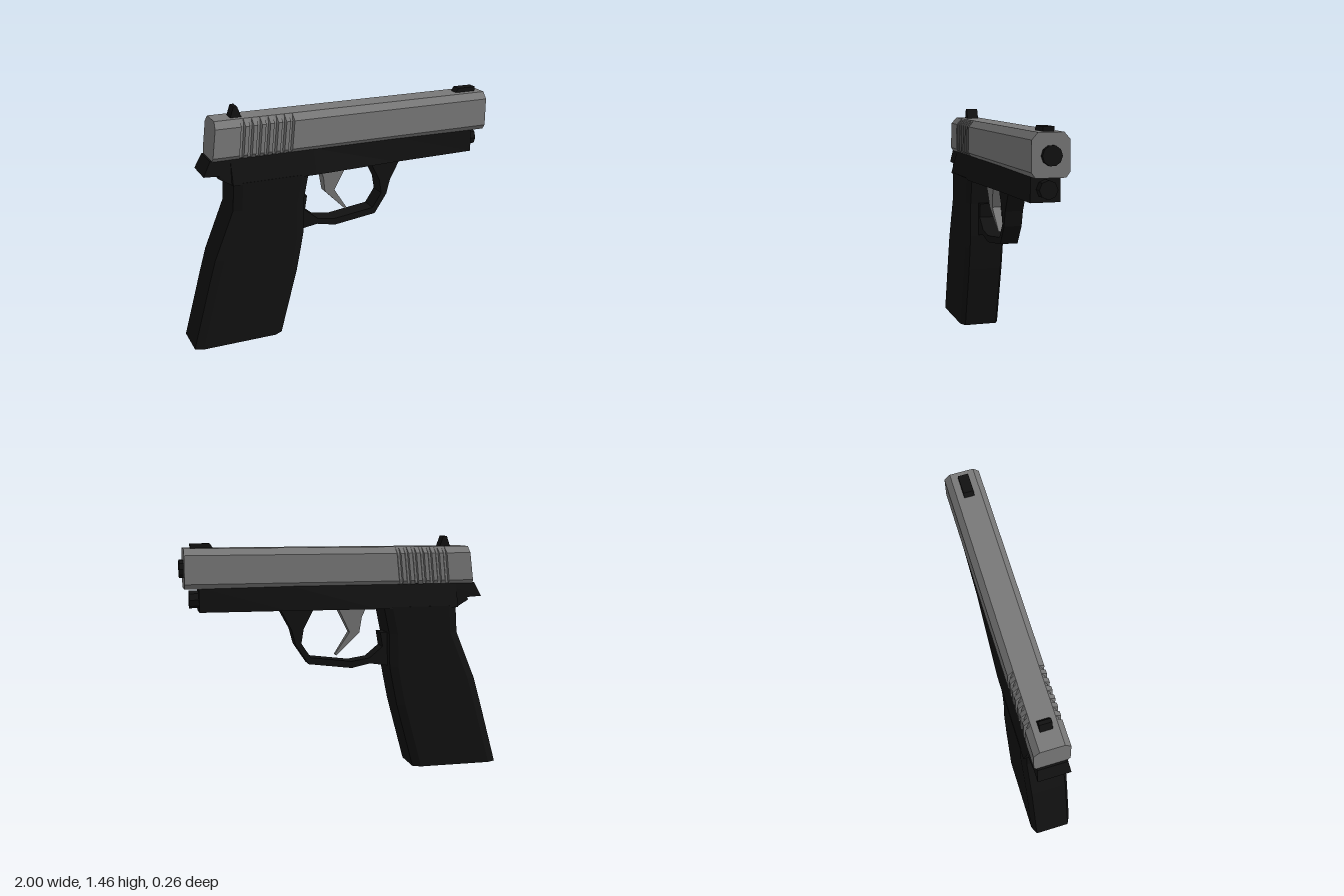
import * as THREE from 'three';

// Flat-shaded skin over a row of equal-length rings of [x, y, z], capped at both ends.
// Rings run counter-clockwise seen from the far end.
function loft(rings) {
  const n = rings[0].length, index = [];
  for (let r = 0; r < rings.length - 1; r++) {
    for (let i = 0; i < n; i++) {
      const a = r * n + i, b = r * n + (i + 1) % n;
      index.push(a, b, b + n, a, b + n, a + n);
    }
  }
  const last = (rings.length - 1) * n;
  for (let i = 1; i < n - 1; i++) {
    index.push(0, i + 1, i, last, last + i, last + i + 1);
  }
  const g = new THREE.BufferGeometry();
  g.setAttribute('position', new THREE.Float32BufferAttribute(rings.flat(2), 3));
  g.setIndex(index);
  return flat(g);
}

function flat(g) {
  const out = g.index ? g.toNonIndexed() : g;
  out.computeVertexNormals();
  return out;
}

// Side outline extruded evenly to both sides of z = 0
function plate(points, half) {
  const shape = new THREE.Shape(points.map(p => new THREE.Vector2(p[0], p[1])));
  const g = new THREE.ExtrudeGeometry(shape, { depth: half * 2, bevelEnabled: false });
  return g.translate(0, 0, -half);
}

// Narrow the width of a geometry as a function of position
function taper(g, rule) {
  const p = g.attributes.position;
  for (let i = 0; i < p.count; i++) p.setZ(i, p.getZ(i) * rule(p.getX(i), p.getY(i)));
  return flat(g);
}

export function createModel() {
  const steel = new THREE.MeshStandardMaterial({ color: 0x787878 });
  steel.name = 'grey steel';
  const black = new THREE.MeshStandardMaterial({ color: 0x111111 });
  black.name = 'black polymer';

  const model = new THREE.Group();
  model.name = 'pistol';
  const add = (name, geometry, material) => {
    const mesh = new THREE.Mesh(geometry, material);
    mesh.name = name;
    model.add(mesh);
    return mesh;
  };

  // Slide: chamfered bar with slanted rear and seven grooves on each side
  const W = 0.107;
  const slideRing = (x, w, slant) => [
    [1.4, 0.072], [1.36, w], [1.19, w], [1.16, 0.085],
    [1.16, -0.085], [1.19, -w], [1.36, -w], [1.4, -0.072],
  ].map(([y, z]) => [x + slant * (y - 1.16), y, z]);
  const slide = [slideRing(-0.83, W, 0.125)];
  for (let i = 0; i < 7; i++) {
    const x = -0.67 + i * 0.05;
    slide.push(slideRing(x, W, 0.1), slideRing(x + 0.004, W - 0.016, 0.1),
      slideRing(x + 0.018, W - 0.016, 0.1), slideRing(x + 0.026, W, 0.1));
  }
  slide.push(slideRing(0.975, W, 0));
  add('slide', loft(slide), steel);

  // Frame: flared over the grip, slimmer toward the muzzle
  const frame = [[-0.72, 0.09, 0.132], [-0.2, 0.09, 0.132], [0.35, 0.09, 0.1], [0.89, 0.085, 0.085]];
  add('frame', loft(frame.map(([x, t, b]) =>
    [[x, 1.172, t], [x, 1.02, b], [x, 1.02, -b], [x, 1.172, -t]])), black);

  // Grip: chamfered sections stacked upward as [y, back, front]
  const grip = [
    [0, -1, -0.44], [0.41, -0.888, -0.33], [0.56, -0.845, -0.3],
    [0.65, -0.808, -0.283], [0.86, -0.722, -0.278], [1.03, -0.712, -0.243],
  ];
  const h = 0.132, k = 0.108, c = 0.05;
  add('grip', loft(grip.map(([y, x0, x1]) => [
    [x1 - c, h], [x1, k], [x1, -k], [x1 - c, -h],
    [x0 + c, -h], [x0, -k], [x0, k], [x0 + c, h],
  ].map(([x, z]) => [x, y, z]))), black);

  // Rear tang under the slide
  add('tang', taper(plate([
    [-0.885, 1.085], [-0.79, 1.08], [-0.8, 1.065], [-0.71, 1.01],
    [-0.6, 1.02], [-0.6, 1.172], [-0.84, 1.172],
  ], 0.1), (x, y) => y > 1.1 ? 0.9 : 1), black);

  // Trigger guard with its rear root against the grip
  add('triggerGuard', flat(plate([
    [0.4, 1.025], [0.33, 0.895], [0.305, 0.8], [0.225, 0.68], [-0.05, 0.645],
    [-0.17, 0.67], [-0.3, 0.65], [-0.3, 0.865], [-0.235, 0.865], [-0.25, 0.775],
    [-0.165, 0.705], [-0.05, 0.687], [0.21, 0.72], [0.27, 0.81], [0.255, 0.9], [0.19, 1.025],
  ], 0.055)), black);

  // Trigger: curved blade thinning toward its tip
  add('trigger', taper(plate([
    [-0.145, 1.025], [-0.118, 0.96], [-0.105, 0.865], [0.04, 0.722],
    [0.05, 0.728], [-0.042, 0.868], [0.035, 1.025],
  ], 0.045), (x, y) => 0.3 + 0.7 * (y - 0.72) / 0.305), steel);

  // Barrel end and guide rod
  const rod = (name, r, x0, x1, y, sides) => {
    const g = new THREE.CylinderGeometry(r, r, x1 - x0, sides);
    g.rotateZ(-Math.PI / 2).translate((x0 + x1) / 2, y, 0);
    add(name, flat(g), black);
  };
  rod('barrelEnd', 0.056, 0.95, 1, 1.278, 10);
  rod('guideRod', 0.053, 0.86, 0.945, 1.093, 8);

  // Sights
  add('rearSight', flat(plate(
    [[-0.695, 1.395], [-0.625, 1.395], [-0.65, 1.463], [-0.672, 1.463]], 0.037)), black);
  add('frontSight', flat(plate(
    [[0.795, 1.395], [0.93, 1.395], [0.935, 1.427], [0.815, 1.427]], 0.031)), black);

  return model;
}
